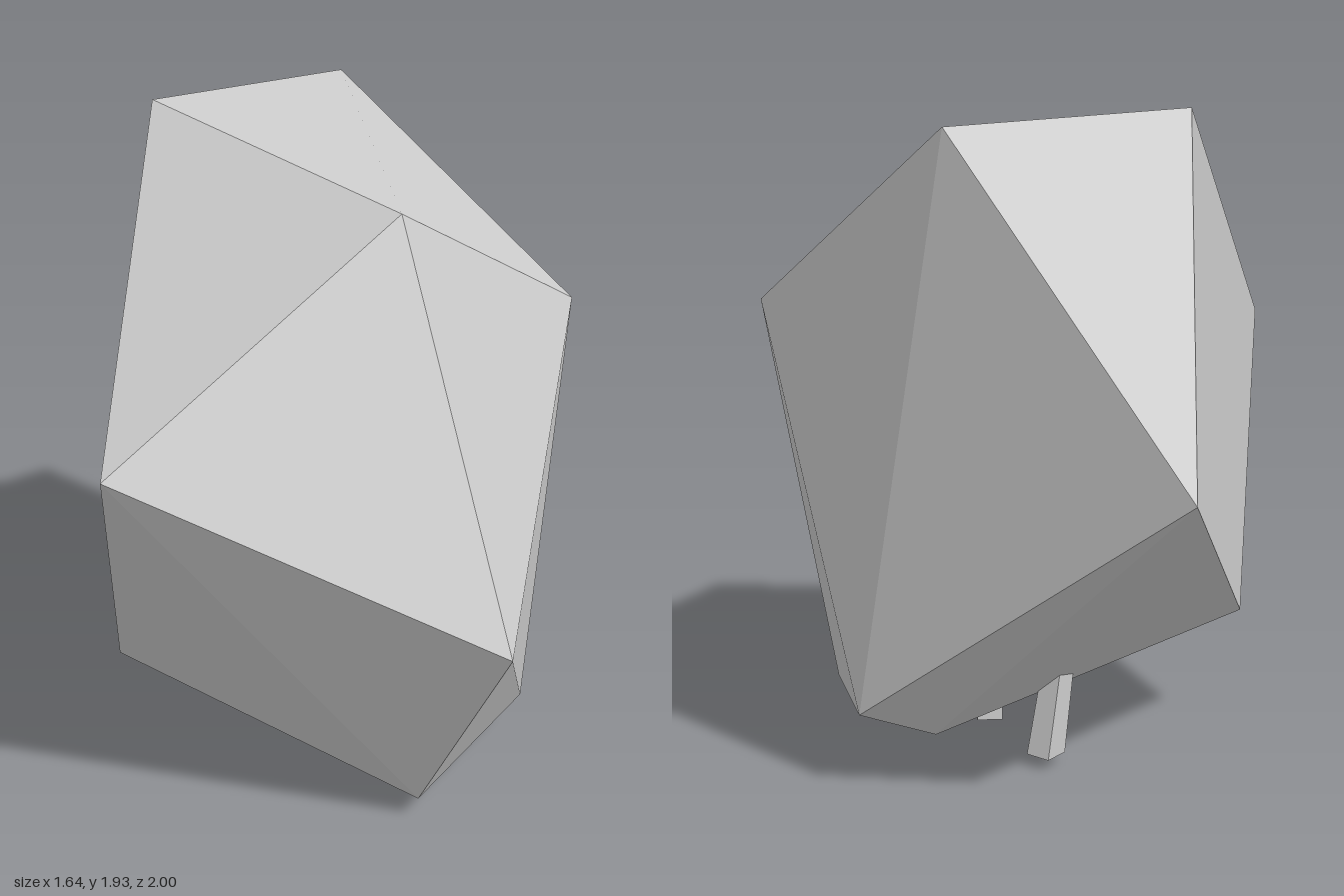
import * as THREE from 'three';

const material = () => new THREE.MeshStandardMaterial({ color: 0xcccccc, flatShading: true });

// Corners of the faceted body
const P = {
  A: [-0.08, 1.93, -0.54], B: [0.64, 1.91, -0.54], C: [0.04, 1.8, 0.43],
  D: [-0.82, 1.2, 0.25], E: [0.82, 1.36, 0.33], F: [-0.04, 0.73, 1],
  G: [0, 0.07, 0.61], H: [0.57, 0.13, 0.45], I: [0.74, 0.24, -0.14],
  J: [-0.49, 0.37, -0.2], K: [0.17, 0.99, -1], L: [0.51, 0.14, -0.15],
};
const FACES = 'ABC ACD DCF CEF CBE DFG DGJ FGH FHE EHI EBI IBK KLI LIH LGH LGJ LJK AJK ADJ ABK';

// Twenty-sided irregular body; each triangle is wound to face away from the middle
function makeBody() {
  const middle = new THREE.Vector3(0.05, 1, 0);
  const positions = [];
  for (const face of FACES.split(' ')) {
    const [a, b, c] = [...face].map((k) => new THREE.Vector3(...P[k]));
    const normal = b.clone().sub(a).cross(c.clone().sub(a));
    const outward = normal.dot(a.clone().sub(middle)) > 0;
    for (const v of outward ? [a, b, c] : [a, c, b]) positions.push(v.x, v.y, v.z);
  }
  const geometry = new THREE.BufferGeometry();
  geometry.setAttribute('position', new THREE.Float32BufferAttribute(positions, 3));
  geometry.computeVertexNormals();
  const body = new THREE.Mesh(geometry, material());
  body.name = 'facetedBody';
  return body;
}

// Square peg, slightly wider at the foot, sheared so it leans from foot to top
function makePeg(name, foot, top, turn) {
  const height = top[1] - foot[1];
  const geometry = new THREE.CylinderGeometry(0.046, 0.056, height, 4, 1, false, turn);
  geometry.translate(0, height / 2, 0);
  const p = geometry.attributes.position;
  for (let i = 0; i < p.count; i++) {
    const t = p.getY(i) / height;
    p.setX(i, p.getX(i) + foot[0] + t * (top[0] - foot[0]));
    p.setZ(i, p.getZ(i) + foot[2] + t * (top[2] - foot[2]));
    p.setY(i, p.getY(i) + foot[1]);
  }
  geometry.computeVertexNormals();
  const peg = new THREE.Mesh(geometry, material());
  peg.name = name;
  return peg;
}

export function createModel() {
  const model = new THREE.Group();
  model.name = 'facetedBodyOnPegs';
  model.add(
    makeBody(),
    makePeg('frontPeg', [0.16, 0, 0.22], [0.15, 0.22, 0.23], 0.36),
    makePeg('backPeg', [0.18, 0.035, -0.2], [0.13, 0.32, -0.19], -0.36),
  );
  return model;
}
